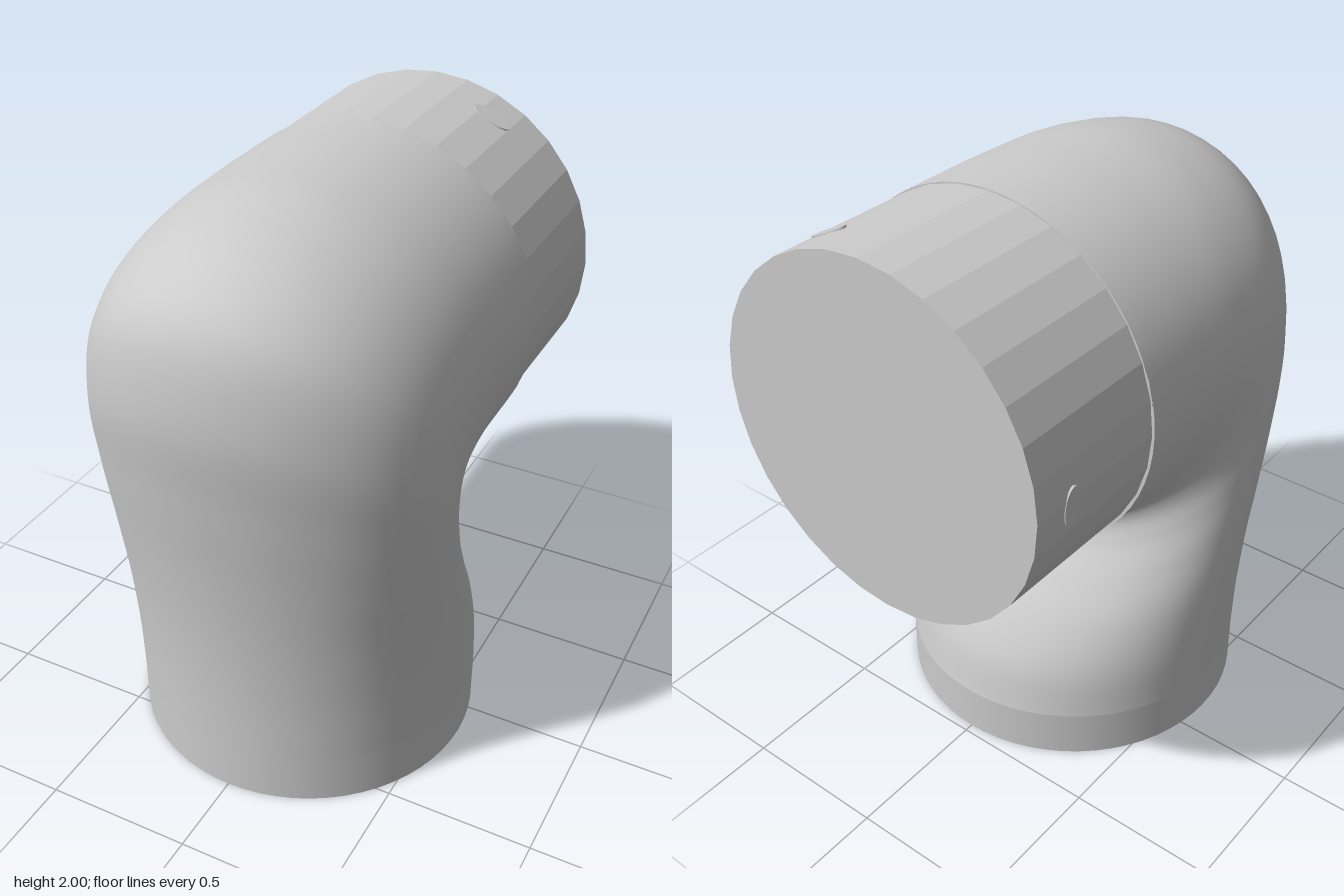
import * as THREE from 'three';

const grey = () => new THREE.MeshStandardMaterial({ color: 0xcccccc });

// Smooth curve in the side plane through [z, y] points
const sideCurve = (pts) =>
  new THREE.CatmullRomCurve3(pts.map(([z, y]) => new THREE.Vector3(0, y, z)), false, 'centripetal');

// Loft of elliptical sections, each spanning from the outer to the inner curve
function loft(outer, inner, halfWidth, rings, sides) {
  const pos = [], index = [];
  for (let i = 0; i <= rings; i++) {
    const t = i / rings;
    const a = outer.getPoint(t), b = inner.getPoint(t);
    const mid = a.clone().add(b).multiplyScalar(0.5);
    const half = a.sub(b).multiplyScalar(0.5);
    for (let j = 0; j < sides; j++) {
      const ang = (j / sides) * Math.PI * 2;
      const p = mid.clone().addScaledVector(half, Math.cos(ang));
      pos.push(halfWidth(t) * Math.sin(ang), p.y, p.z);
      if (i === rings) continue;
      const k = (j + 1) % sides, r = i * sides, n = r + sides;
      index.push(r + j, r + k, n + j, r + k, n + k, n + j);
    }
  }
  const g = new THREE.BufferGeometry();
  g.setAttribute('position', new THREE.Float32BufferAttribute(pos, 3));
  g.setIndex(index);
  g.computeVertexNormals();
  return g;
}

export function createModel() {
  const group = new THREE.Group();
  const add = (name, geometry, material = grey()) => {
    const mesh = new THREE.Mesh(geometry, material);
    mesh.name = name;
    group.add(mesh);
    return mesh;
  };

  // Bent body: matching points along the outside and inside of the bend
  const outer = sideCurve([
    [0.71, 0.17], [0.712, 0.4], [0.725, 0.65], [0.75, 0.9], [0.79, 1.2], [0.82, 1.5],
    [0.77, 1.76], [0.62, 1.9], [0.35, 1.98], [0.05, 2], [-0.3, 2],
  ]);
  const inner = sideCurve([
    [-0.47, 0.17], [-0.43, 0.33], [-0.35, 0.47], [-0.24, 0.6], [-0.16, 0.69], [-0.13, 0.75],
    [-0.135, 0.775], [-0.16, 0.793], [-0.2, 0.8], [-0.25, 0.802], [-0.3, 0.805],
  ]);
  const bodyMaterial = grey();
  bodyMaterial.side = THREE.DoubleSide;
  add('elbowBody', loft(outer, inner, (t) => 0.59 + 0.01 * Math.min(1, t * 2), 60, 64), bodyMaterial);

  // Straight base below the bend
  add('baseSleeve', new THREE.CylinderGeometry(0.59, 0.59, 0.17, 64)).position.set(0, 0.085, 0.12);

  // Rim closing the step between body and collar
  add('bodyRim', new THREE.RingGeometry(0.57, 0.598, 64).rotateY(Math.PI)).position.set(0, 1.4025, -0.3);

  // Slightly narrower faceted collar at the outlet
  const radius = 0.592, centreY = 1.405;
  const collarMaterial = grey();
  collarMaterial.flatShading = true;
  add('outletCollar', new THREE.CylinderGeometry(radius, radius, 0.535, 32).rotateX(Math.PI / 2), collarMaterial)
    .position.set(0, centreY, -0.5575);

  // Oval screw plugs, almost flush with the collar
  for (const degrees of [63, 183]) {
    const a = THREE.MathUtils.degToRad(degrees);
    const plug = add('screwPlug', new THREE.CylinderGeometry(0.035, 0.035, 0.03, 24).scale(2, 1, 1));
    const r = radius - 0.014;
    plug.position.set(r * Math.cos(a), centreY + r * Math.sin(a), -0.67);
    plug.rotation.z = a - Math.PI / 2;
  }
  return group;
}
